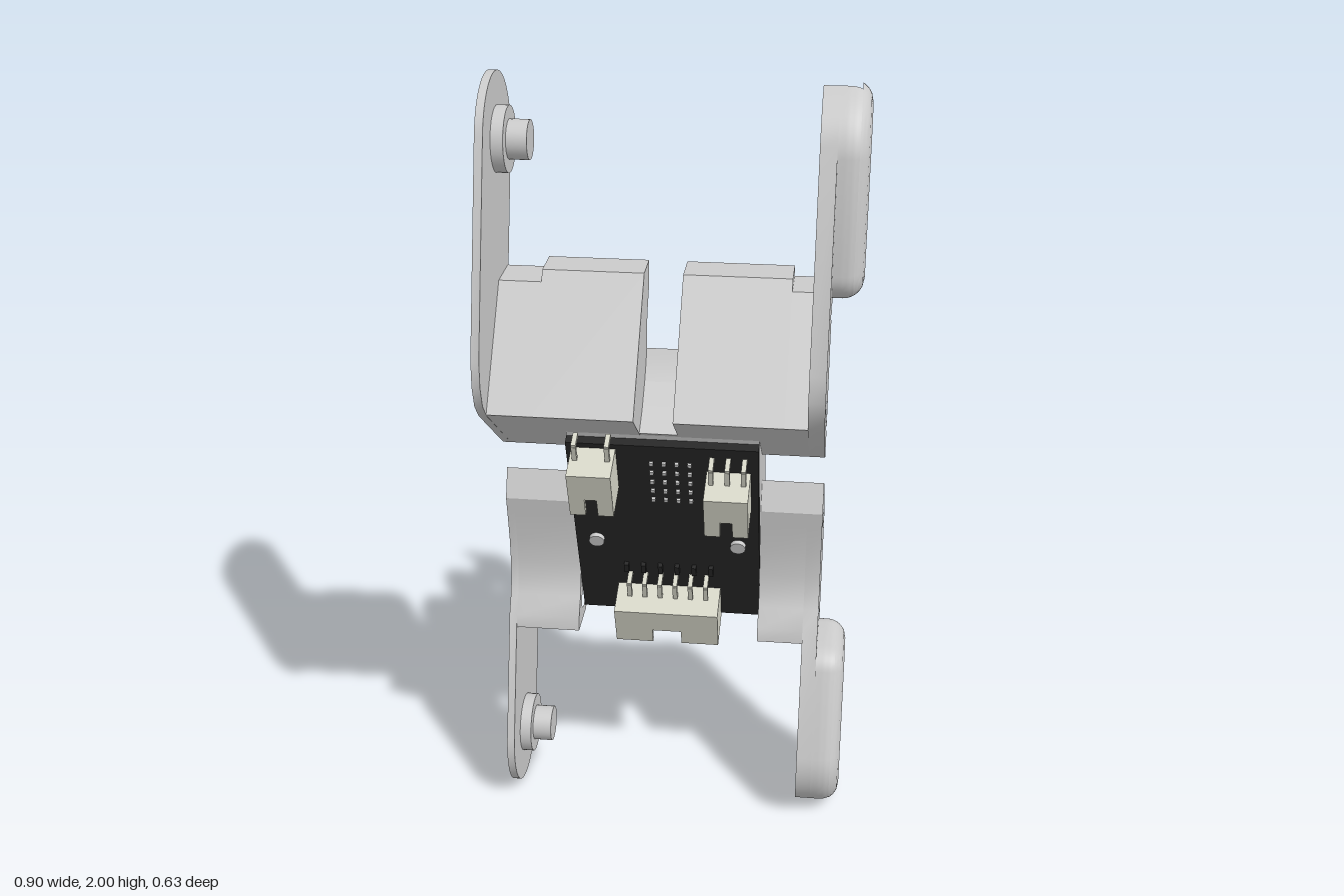
import * as THREE from 'three';
import { toCreasedNormals } from 'three/addons/utils/BufferGeometryUtils.js';

const GREY = 0xcccccc, BLACK = 0x262626, CREAM = 0xd6d6c8;
const BOLTS = [[0.03, 1.44], [0.185, 1.25], [0.06, 1.155]];
const TILT = 0.349; // lean of the spine and circuit board

function add(parent, name, geometry, color = GREY) {
  const m = new THREE.Mesh(geometry, new THREE.MeshStandardMaterial({ color }));
  m.name = name;
  parent.add(m);
  return m;
}

// Points of an arc in [z, y], angles in degrees
function arc(z, y, r, a0, a1, n = 16) {
  return Array.from({ length: n + 1 }, (_, i) => {
    const a = THREE.MathUtils.degToRad(a0 + (a1 - a0) * i / n);
    return [z + r * Math.cos(a), y + r * Math.sin(a)];
  });
}

// Extrude a [z, y] outline along x from x0 to x1; holes are [z, y, radius]
function extrudeX(pts, x0, x1, holes = [], steps = 1) {
  const shape = new THREE.Shape(pts.map(([z, y]) => new THREE.Vector2(-z, y)));
  for (const [z, y, r = 0.025] of holes) shape.holes.push(new THREE.Path().absarc(-z, y, r, 0, Math.PI * 2, true));
  const g = new THREE.ExtrudeGeometry(shape, { depth: x1 - x0, bevelEnabled: false, curveSegments: 20, steps });
  g.rotateY(Math.PI / 2);
  g.translate(x0, 0, 0);
  return g;
}

// Concave rear edge shared by arms and bodies, and the bent arm outline
const REAR = [[-0.045, 1.46], [-0.015, 1.41], [0, 1.37], [0.005, 1.32], [0.003, 1.25], [-0.008, 1.17], [-0.016, 1.12], [0.016, 1.045]];
const ARM = [...REAR, [0.265, 1.235], [0.3, 1.275], [0.316, 1.33], [0.313, 1.395]];

// Cable pocket, open at the arm end, widened by the pivot hole
const POCKET = [...arc(0, 1.845, 0.065, 62.5, -62.5, 12), [0.1, 1.63], [0.098, 1.6], [0.08, 1.578], [0, 1.575], [-0.03, 1.6], [-0.115, 1.82]];
const slotted = (a0, a1) => [...arc(0, 1.84, 0.16, a0, 79, 10), ...POCKET, ...arc(0, 1.84, 0.16, 136, a1, 10)];

const PAD_FOOT = [...arc(-0.02, 1.58, 0.065, 197, 270, 8), ...arc(0.09, 1.58, 0.07, 270, 362, 10)];
const PAD = [...arc(0, 1.84, 0.16, 8, 197, 28), ...PAD_FOOT];

// Round the outer rim: pull vertices inside the outline, inset more towards the outer face
function roundRim(g, x0 = 0.4, r = 0.05) {
  const p = g.attributes.position;
  for (let i = 0; i < p.count; i++) {
    const t = Math.min(r, Math.max(0, p.getX(i) - x0));
    const inset = r - Math.sqrt(r * r - t * t);
    let z = p.getZ(i), y = p.getY(i);
    if (inset > 0) PAD.forEach(([az, ay], k) => {
      const [bz, by] = PAD[(k + 1) % PAD.length];
      const len = Math.hypot(bz - az, by - ay);
      if (len < 1e-4) return;
      const nz = (by - ay) / len, ny = (az - bz) / len;
      const over = (z - az) * nz + (y - ay) * ny + inset;
      if (over > 0) { z -= nz * over; y -= ny * over; }
    });
    p.setXYZ(i, p.getX(i), y, z);
  }
  return toCreasedNormals(g, 0.6);
}

// Two side arms: a pivot pin on one, a hollow padded socket on the other
function makeArms(name) {
  const g = new THREE.Group();
  g.name = name;
  add(g, 'pinArm', toCreasedNormals(extrudeX([...arc(0, 1.84, 0.16, 17, 197, 28), ...ARM], -0.455, -0.435, BOLTS), 0.5));
  add(g, 'socketArm', toCreasedNormals(extrudeX([...slotted(17, 197), ...ARM], 0.335, 0.375, BOLTS), 0.5));
  add(g, 'socketPad', roundRim(extrudeX([...slotted(8, 197), ...PAD_FOOT], 0.375, 0.425, [], 6)));
  add(g, 'socketPadFace', roundRim(extrudeX(PAD, 0.425, 0.45, [[0, 1.845, 0.065]], 6)));
  for (const [part, r, x0, x1] of [['pinCollar', 0.08, -0.44, -0.405], ['pivotPin', 0.048, -0.41, -0.355]]) {
    const pin = add(g, part, new THREE.CylinderGeometry(r, r, x1 - x0, 32));
    pin.rotation.z = Math.PI / 2;
    pin.position.set((x0 + x1) / 2, 1.84, 0);
  }
  return g;
}

// Wedge cross-section cut flat at a given height
const wedge = (top, rear) => [[0.27, 1.24], [0.04 + (1.53 - top) * 0.793, top], [rear, top], ...REAR];

// Side-entry socket with its mouth towards -y and bent pins behind
function makeConnector(name, w, h, d, pins) {
  const g = new THREE.Group(), t = 0.014;
  g.name = name;
  const box = (part, sx, sy, sz, x, y, z) => add(g, part, new THREE.BoxGeometry(sx, sy, sz), CREAM).position.set(x, y, z);
  box('connectorFloor', w, h, t, 0, 0, t / 2);
  box('connectorBack', w, 0.04, d, 0, h / 2 - 0.02, d / 2);
  for (const s of [-1, 1]) {
    box('connectorSide', t, h, d, s * (w - t) / 2, 0, d / 2);
    box('connectorFront', w * 0.36, h, t, s * w * 0.32, 0, d - t / 2);
  }
  box('connectorBridge', w, h * 0.6, t, 0, h * 0.2, d - t / 2);
  for (let i = 0; i < pins; i++) {
    const x = (i - (pins - 1) / 2) * (w * 0.74 / Math.max(1, pins - 1));
    box('connectorPin', 0.012, h * 0.85, 0.012, x, 0, d * 0.5);
    box('connectorPinLeg', 0.012, 0.05, 0.012, x, h / 2 + 0.02, d * 0.4);
    box('connectorPinFoot', 0.012, 0.012, d * 0.45, x, h / 2 + 0.045, d * 0.22);
  }
  return g;
}

export function createModel() {
  const model = new THREE.Group();
  model.name = 'jointBracket';

  // Upper arms and wedge body, split by the cable notch
  const upper = makeArms('upperArms');
  const body = (parent, name, pts, x0, x1, holes = BOLTS) => add(parent, name, toCreasedNormals(extrudeX(pts, x0, x1, holes), 0.5));
  body(upper, 'upperBodyEnd', wedge(1.505, -0.05), -0.435, -0.33);
  body(upper, 'upperBody', wedge(1.53, -0.055), -0.33, -0.08);
  body(upper, 'upperBody', wedge(1.53, -0.055), 0.015, 0.28);
  body(upper, 'upperBodyEnd', wedge(1.505, -0.05), 0.28, 0.335);
  const floor = new THREE.QuadraticBezierCurve(new THREE.Vector2(0.165, 1.16), new THREE.Vector2(0.06, 1.21), new THREE.Vector2(0.005, 1.32));
  body(upper, 'cableNotchFloor', [...floor.getPoints(10).map(v => [v.x, v.y]), ...REAR.slice(4)], -0.08, 0.015, [BOLTS[2]]);
  model.add(upper);

  // Lower arms: the same, turned half a revolution; body recessed for the board
  const lower = makeArms('lowerArms');
  lower.rotation.x = Math.PI;
  lower.position.y = 2;
  body(lower, 'lowerBodySide', wedge(1.495, -0.05), -0.435, -0.265);
  body(lower, 'lowerBodySide', wedge(1.495, -0.05), 0.215, 0.335);
  body(lower, 'lowerBodyCentre', [[0.27, 1.24], [0.08, 1.48], [0.014, 1.3], ...REAR.slice(4)], -0.265, 0.215, BOLTS.slice(1));
  model.add(lower);

  // Leaning spine with a window behind the board
  const spineTop = [[0.15, 1.15], [0.05, 1.25], [-0.025, 1.28]];
  const spineEnd = [[-0.185, 0.84], [-0.05, 0.75], [-0.014, 0.7]];
  for (const [x0, x1] of [[-0.265, -0.12], [0.07, 0.215]]) body(model, 'spine', [...spineTop, ...spineEnd], x0, x1, []);
  body(model, 'spineAboveWindow', [...spineTop, [-0.065, 1.17], [0.131, 1.099]], -0.12, 0.07, []);
  body(model, 'spineBelowWindow', [[0.081, 0.961], [-0.115, 1.033], ...spineEnd], -0.12, 0.07, []);

  // Circuit board and everything mounted on it
  const board = new THREE.Group();
  board.name = 'circuitBoardAssembly';
  board.position.set(-0.025, 0.83, 0.046);
  board.rotation.x = TILT;
  add(board, 'circuitBoard', new THREE.BoxGeometry(0.48, 0.64, 0.025), BLACK);
  const place = (part, x, y, z) => { part.position.set(x, y, z); board.add(part); return part; };
  place(makeConnector('powerConnector', 0.11, 0.14, 0.1, 2), -0.17, 0.235, 0.012);
  place(makeConnector('signalConnector', 0.11, 0.13, 0.1, 3), 0.165, 0.175, 0.012).rotation.z = 0;
  place(makeConnector('wideConnector', 0.275, 0.12, 0.1, 6), -0.002, -0.275, 0.012);
  for (let c = 0; c < 4; c++) for (let r = 0; r < 5; r++) {
    add(board, 'headerPin', new THREE.BoxGeometry(0.01, 0.01, 0.11)).position.set((c - 1.5) * 0.032 + 0.02, 0.13 + r * 0.033, -0.035);
  }
  for (let i = 0; i < 6; i++) {
    add(board, 'solderJoint', new THREE.BoxGeometry(0.012, 0.03, 0.02), BLACK).position.set((i - 2.5) * 0.045, -0.14, 0.015);
  }
  // Mounting screws through the spine
  for (const x of [-0.185, 0.185]) {
    const screw = add(board, 'mountingScrew', new THREE.CylinderGeometry(0.02, 0.02, 0.27, 20));
    screw.rotation.x = Math.PI / 2;
    screw.position.set(x, -0.035, -0.11);
    const head = add(board, 'screwHead', new THREE.SphereGeometry(0.022, 20, 12));
    head.position.set(x, -0.035, -0.238);
  }
  model.add(board);
  return model;
}
